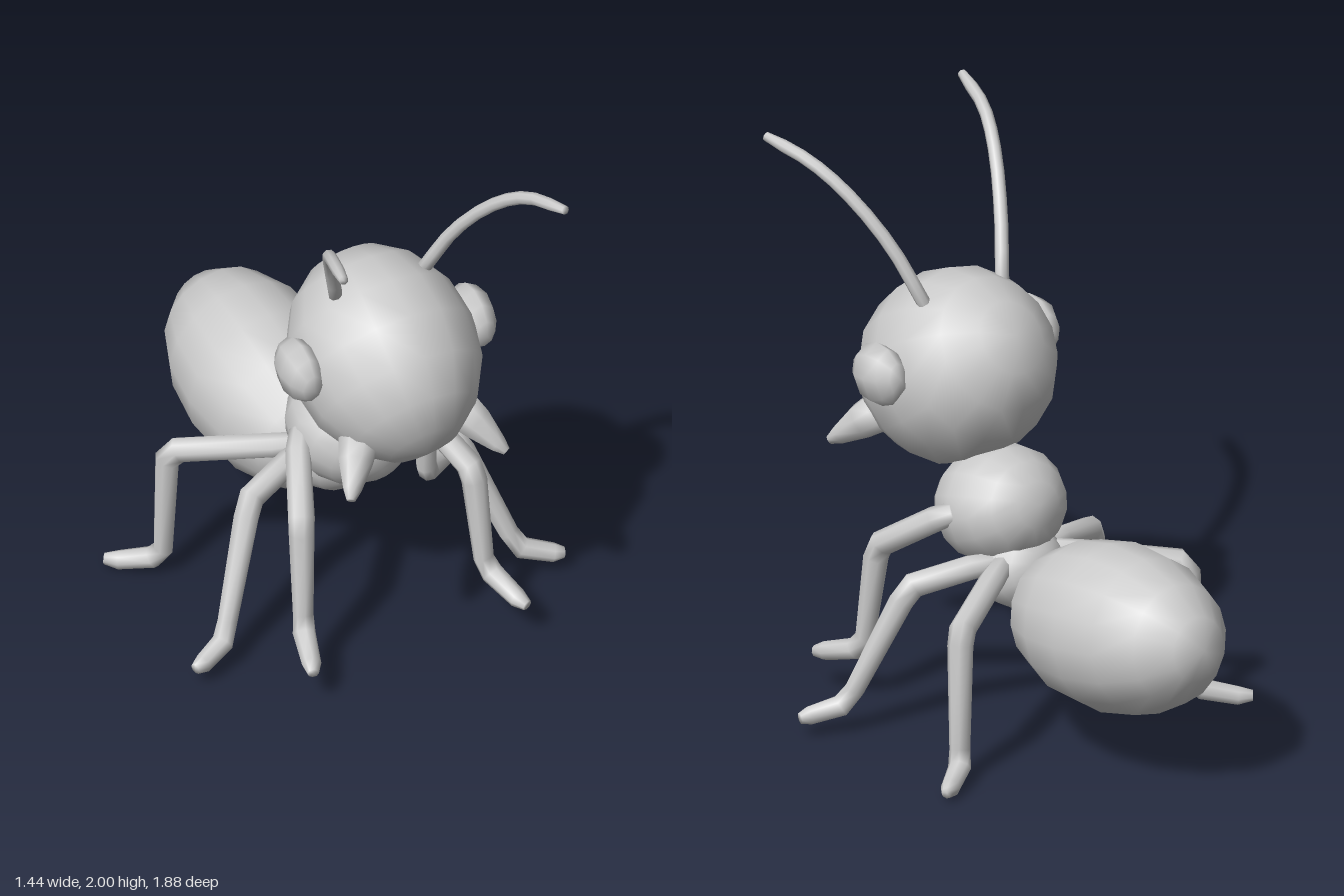
import * as THREE from 'three';

const material = new THREE.MeshStandardMaterial({ color: 0xcccccc });
const V = (p) => new THREE.Vector3(...p);

// Ellipsoid whose poles lie along z, pitched about x
function ellipsoid(name, pos, radii, pitch = 0, sides = 16, rings = 8) {
  const geometry = new THREE.SphereGeometry(1, sides, rings).rotateX(Math.PI / 2);
  const mesh = new THREE.Mesh(geometry, material);
  mesh.name = name;
  mesh.position.set(...pos);
  mesh.scale.set(...radii);
  mesh.rotation.x = pitch;
  return mesh;
}

// Round limb through points, with one radius per point and capped ends
function limb(name, points, radii, sides = 8) {
  const n = points.length, positions = [], index = [];
  const dirs = points.map((p, i) => {
    const a = i > 0 ? p.clone().sub(points[i - 1]).normalize() : new THREE.Vector3();
    const b = i < n - 1 ? points[i + 1].clone().sub(p).normalize() : new THREE.Vector3();
    return a.add(b).normalize();
  });
  let u = new THREE.Vector3(1, 0, 0);
  if (Math.abs(dirs[0].x) > 0.9) u.set(0, 1, 0);
  points.forEach((p, i) => {
    u = u.clone().addScaledVector(dirs[i], -u.dot(dirs[i])).normalize();
    const v = dirs[i].clone().cross(u);
    for (let j = 0; j < sides; j++) {
      const t = (j / sides) * Math.PI * 2;
      const q = p.clone().addScaledVector(u, Math.cos(t) * radii[i]).addScaledVector(v, Math.sin(t) * radii[i]);
      positions.push(q.x, q.y, q.z);
    }
  });
  for (let i = 0; i < n - 1; i++) {
    for (let j = 0; j < sides; j++) {
      const a = i * sides + j, b = i * sides + ((j + 1) % sides);
      index.push(a, b, b + sides, a, b + sides, a + sides);
    }
  }
  const start = n * sides, last = (n - 1) * sides;
  positions.push(...points[0].toArray(), ...points[n - 1].toArray());
  for (let j = 0; j < sides; j++) {
    const k = (j + 1) % sides;
    index.push(start, k, j, start + 1, last + j, last + k);
  }
  const geometry = new THREE.BufferGeometry();
  geometry.setAttribute('position', new THREE.Float32BufferAttribute(positions, 3));
  geometry.setIndex(index);
  geometry.computeVertexNormals();
  const mesh = new THREE.Mesh(geometry, material);
  mesh.name = name;
  return mesh;
}

// Hip, knee, ankle and toe of each left leg
const LEGS = {
  FrontLeg: [[0.2, 0.77, 0.18], [0.24, 0.735, 0.24], [0.325, 0.605, 0.425], [0.335, 0.55, 0.445], [0.35, 0.24, 0.485], [0.365, 0.19, 0.52], [0.4, 0.15, 0.64], [0.415, 0.14, 0.68]],
  MiddleLeg: [[0.1, 0.6, 0.06], [0.2, 0.59, 0.1], [0.385, 0.55, 0.175], [0.42, 0.49, 0.2], [0.545, 0.16, 0.3], [0.58, 0.1, 0.33], [0.68, 0.075, 0.375], [0.715, 0.07, 0.385]],
  HindLeg: [[0.1, 0.6, 0.04], [0.2, 0.58, -0.02], [0.47, 0.535, -0.2], [0.5, 0.49, -0.225], [0.51, 0.11, -0.235], [0.535, 0.06, -0.265], [0.63, 0.035, -0.335], [0.67, 0.035, -0.365]],
};
const LEG_RADII = [0.038, 0.045, 0.047, 0.045, 0.036, 0.04, 0.034, 0.02];

export function createModel() {
  const model = new THREE.Group();
  model.name = 'ant';

  // Body
  model.add(
    ellipsoid('head', [0, 1.187, 0.415], [0.33, 0.342, 0.387], 0.6),
    ellipsoid('thorax', [0, 0.75, 0.18], [0.232, 0.212, 0.232], 0.3),
    ellipsoid('waist', [0, 0.555, 0.07], [0.165, 0.148, 0.138], 0.3),
    ellipsoid('abdomen', [0, 0.507, -0.465], [0.287, 0.3, 0.482], 0.15),
  );

  // Paired parts
  for (const [side, s] of [['left', 1], ['right', -1]]) {
    const place = (list) => list.map(([x, y, z]) => V([x * s, y, z]));

    const eye = ellipsoid(side + 'Eye', [0.335 * s, 1.24, 0.425], [0.075, 0.115, 0.12], 0.15, 8, 6);
    model.add(eye);

    model.add(limb(side + 'Mandible',
      place([[0.185, 1.02, 0.585], [0.2, 1.0, 0.605], [0.235, 0.96, 0.65], [0.282, 0.9, 0.715], [0.302, 0.877, 0.742]]),
      [0.045, 0.073, 0.063, 0.034, 0.016]));

    const curve = new THREE.CatmullRomCurve3(
      place([[0.17, 1.47, 0.385], [0.24, 1.67, 0.48], [0.32, 1.84, 0.615], [0.38, 1.935, 0.75], [0.43, 1.982, 0.93]]));
    const steps = 10;
    model.add(limb(side + 'Antenna', curve.getPoints(steps),
      Array.from({ length: steps + 1 }, (_, i) => (i === steps ? 0.016 : 0.025 - 0.003 * (i / steps)))));

    for (const [name, points] of Object.entries(LEGS)) {
      model.add(limb(side + name, place(points), LEG_RADII));
    }
  }
  return model;
}
